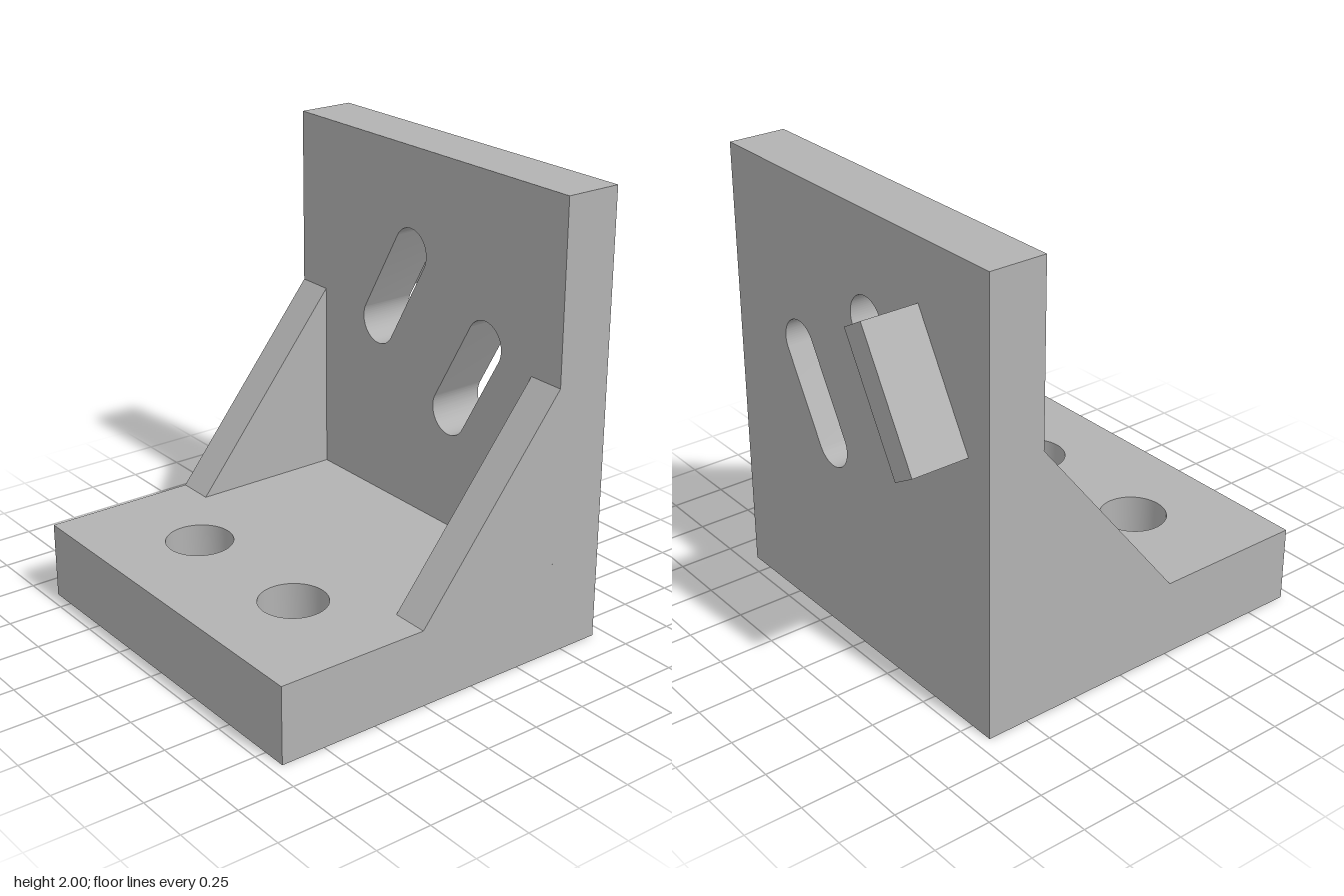
import * as THREE from 'three';
import { toCreasedNormals } from 'three/addons/utils/BufferGeometryUtils.js';

const HALF = 0.86;      // half width along z
const BASE_TOP = 0.345;
const WALL_IN = 0.43, WALL_OUT = 0.69;

function polygon(points) {
  return new THREE.Shape(points.map(([x, y]) => new THREE.Vector2(x, y)));
}

function extrude(shape, depth) {
  return new THREE.ExtrudeGeometry(shape, { depth, bevelEnabled: false, curveSegments: 32 });
}

// Rounded slot between two end centres
function slot(x1, y1, x2, y2, r) {
  const a = Math.atan2(y2 - y1, x2 - x1), q = Math.PI / 2;
  const path = new THREE.Path();
  path.absarc(x1, y1, r, a + q, a + 3 * q, false);
  path.absarc(x2, y2, r, a - q, a + q, false);
  path.closePath();
  return path;
}

export function createModel() {
  const group = new THREE.Group();
  const grey = new THREE.MeshStandardMaterial({ color: 0xb2b2b2 });
  grey.name = 'grey';

  const add = (name, geometry) => {
    const mesh = new THREE.Mesh(toCreasedNormals(geometry, 0.5), grey);
    mesh.name = name;
    group.add(mesh);
  };

  // Base plate with two bolt holes
  const base = polygon([[-0.95, -HALF], [WALL_IN, -HALF], [WALL_IN, HALF], [-0.95, HALF]]);
  for (const z of [-0.345, 0.345]) {
    base.holes.push(new THREE.Path().absarc(-0.52, z, 0.148, 0, Math.PI * 2, true));
  }
  add('basePlate', extrude(base, BASE_TOP).rotateX(-Math.PI / 2));

  // Upright wall with two slanted slots, drawn in (-z, y)
  const wall = polygon([[-HALF, 0], [HALF, 0], [HALF, 2], [-HALF, 2]]);
  wall.holes.push(slot(-0.4, 1.255, -0.183, 0.88, 0.104));
  wall.holes.push(slot(0.088, 1.535, 0.305, 1.158, 0.104));
  add('uprightWall', extrude(wall, WALL_OUT - WALL_IN).rotateY(Math.PI / 2).translate(WALL_IN, 0, 0));

  // Slanted stop bar on the outer face
  const bar = polygon([[0.435, 1.732], [0.327, 1.67], [0.627, 1.147], [0.735, 1.21]]);
  add('stopBar', extrude(bar, 0.258).rotateY(Math.PI / 2).translate(WALL_OUT, 0, 0));

  // Triangular gussets at both sides
  const gusset = polygon([[-0.26, BASE_TOP], [WALL_IN, BASE_TOP], [WALL_IN, 1.205]]);
  add('frontGusset', extrude(gusset, 0.17).translate(0, 0, HALF - 0.17));
  add('backGusset', extrude(gusset, 0.17).translate(0, 0, -HALF));

  return group;
}
